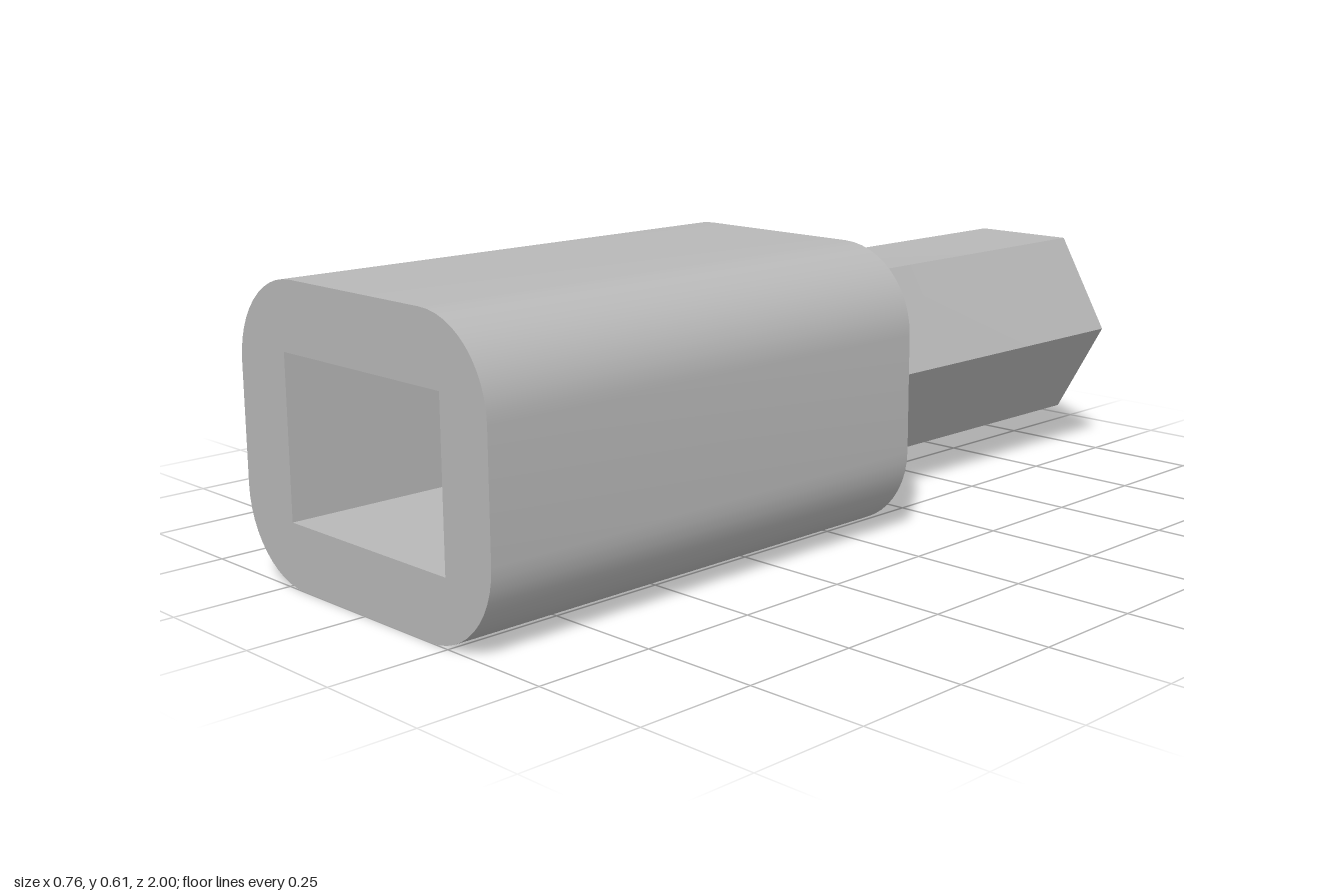
import * as THREE from 'three';
import { toCreasedNormals } from 'three/addons/utils/BufferGeometryUtils.js';

const CX = 0.01, CY = 0.302;            // axis of shank, bore and pocket
const FRONT = 1, STEP = -0.105, BACK = -1, FLOOR = 0;
const FILLET = 0.035;

// Counter-clockwise outlines
const ring = (n, r) => Array.from({ length: n }, (_, i) => {
  const a = (i / n) * Math.PI * 2;
  return new THREE.Vector2(CX + r * Math.cos(a), CY + r * Math.sin(a));
});

function roundedRect(w, h, r, cy, steps) {
  const pts = [];
  [[1, 1], [-1, 1], [-1, -1], [1, -1]].forEach(([sx, sy], q) => {
    for (let i = 0; i <= steps; i++) {
      const a = (q + i / steps) * Math.PI / 2;
      pts.push(new THREE.Vector2(
        sx * (w / 2 - r) + r * Math.cos(a),
        cy + sy * (h / 2 - r) + r * Math.sin(a)));
    }
  });
  return pts;
}

// Skin through outlines at given z: rising z faces outward, falling z faces inward
function skin(sections) {
  const n = sections[0].pts.length, pos = [], idx = [];
  sections.forEach(({ pts, z }) => pts.forEach(p => pos.push(p.x, p.y, z)));
  for (let s = 0; s < sections.length - 1; s++) {
    for (let i = 0; i < n; i++) {
      const j = (i + 1) % n;
      const a = s * n + i, b = s * n + j, c = b + n, d = a + n;
      idx.push(a, b, c, a, c, d);
    }
  }
  const g = new THREE.BufferGeometry();
  g.setAttribute('position', new THREE.Float32BufferAttribute(pos, 3));
  g.setIndex(idx);
  return toCreasedNormals(g, 0.5);
}

// Flat ring between two outlines
function cap(outer, hole, z, facesBack) {
  const shape = new THREE.Shape(outer);
  shape.holes.push(new THREE.Path(hole));
  const g = new THREE.ShapeGeometry(shape);
  if (facesBack) {
    g.index.array.reverse();
    g.computeVertexNormals();
  }
  return g.translate(0, 0, z);
}

export function createModel() {
  const model = new THREE.Group();
  const grey = new THREE.MeshStandardMaterial({ color: 0xb8b8b8 });
  grey.name = 'plain grey';
  const add = (parent, name, geometry) => {
    const mesh = new THREE.Mesh(geometry, grey);
    mesh.name = name;
    parent.add(mesh);
  };

  const bodyOutline = roundedRect(0.76, 0.608, 0.18, 0.304, 12);
  const pocket = [[0.24, 0.167], [-0.24, 0.167], [-0.24, -0.167], [0.24, -0.167]]
    .map(([x, y]) => new THREE.Vector2(CX + x, CY - 0.002 + y));
  const bore = ring(40, 0.115);
  const hex = offset => ring(6, 0.245 + offset / Math.cos(Math.PI / 6));

  // Rounded socket body with a rectangular pocket
  const socket = new THREE.Group();
  socket.name = 'socket';
  add(socket, 'socketSides', skin([{ pts: bodyOutline, z: STEP }, { pts: bodyOutline, z: FRONT }]));
  add(socket, 'socketFront', cap(bodyOutline, pocket, FRONT, false));
  add(socket, 'socketBack', cap(bodyOutline, hex(FILLET), STEP, true));
  add(socket, 'pocketWalls', skin([{ pts: pocket, z: FRONT }, { pts: pocket, z: FLOOR }]));
  add(socket, 'pocketFloor', cap(pocket, bore, FLOOR, false));

  // Hexagonal shank flaring into the body through a concave fillet
  const shank = new THREE.Group();
  shank.name = 'shank';
  const sections = [{ pts: hex(0), z: BACK }];
  for (let i = 0; i <= 8; i++) {
    const a = (i / 8) * Math.PI / 2;
    sections.push({
      pts: hex(FILLET * (1 - Math.cos(a))),
      z: STEP - FILLET * (1 - Math.sin(a)),
    });
  }
  add(shank, 'shankSides', skin(sections));
  add(shank, 'shankEnd', cap(hex(0), bore, BACK, true));
  add(shank, 'bore', skin([{ pts: bore, z: FLOOR }, { pts: bore, z: BACK }]));

  model.add(socket, shank);
  return model;
}
